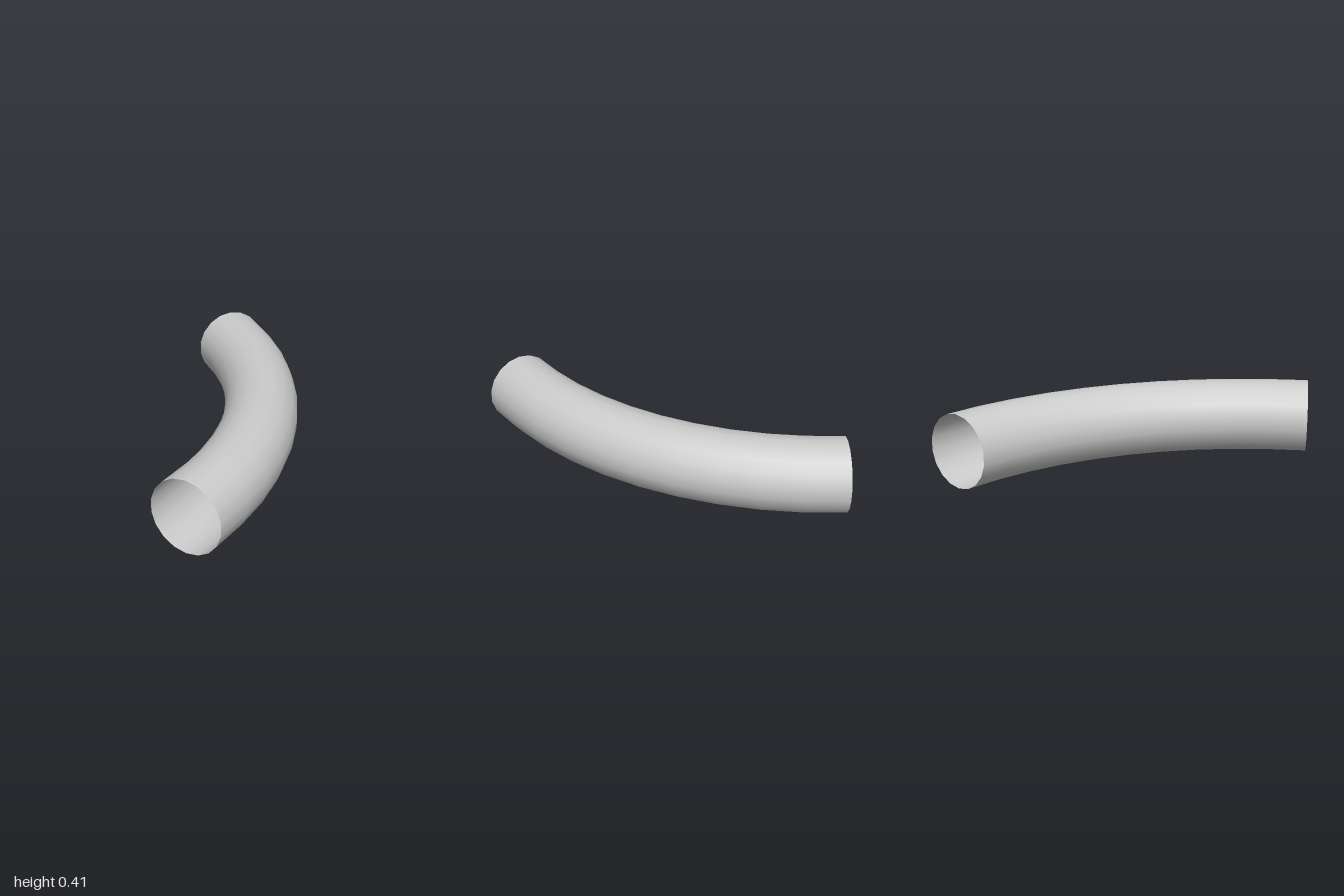
import * as THREE from 'three';

const RADIUS = 0.205;       // pipe radius
const STRAIGHT = 0.12;      // straight run at the front mouth
const BEND = 2.045;         // bend radius of the centre line
const SWEEP = THREE.MathUtils.degToRad(56.8);

// Centre line: a short straight run, then a circular bend towards -x
class PipePath extends THREE.Curve {
  getPoint(t, target = new THREE.Vector3()) {
    const s = t * (STRAIGHT + BEND * SWEEP);
    const a = Math.max(0, s - STRAIGHT) / BEND;
    return target.set(
      0.415 - BEND * (1 - Math.cos(a)),
      RADIUS * Math.cos(Math.PI / 18),
      1 - Math.min(s, STRAIGHT) - BEND * Math.sin(a)
    );
  }
}

export function createModel() {
  const group = new THREE.Group();
  group.name = 'curvedPipe';

  // Open-ended pipe with 18 sides, smooth shaded
  const pipe = new THREE.Mesh(
    new THREE.TubeGeometry(new PipePath(), 10, RADIUS, 18, false),
    new THREE.MeshStandardMaterial({ color: 0xcccccc, side: THREE.DoubleSide })
  );
  pipe.name = 'pipeWall';
  group.add(pipe);

  return group;
}
